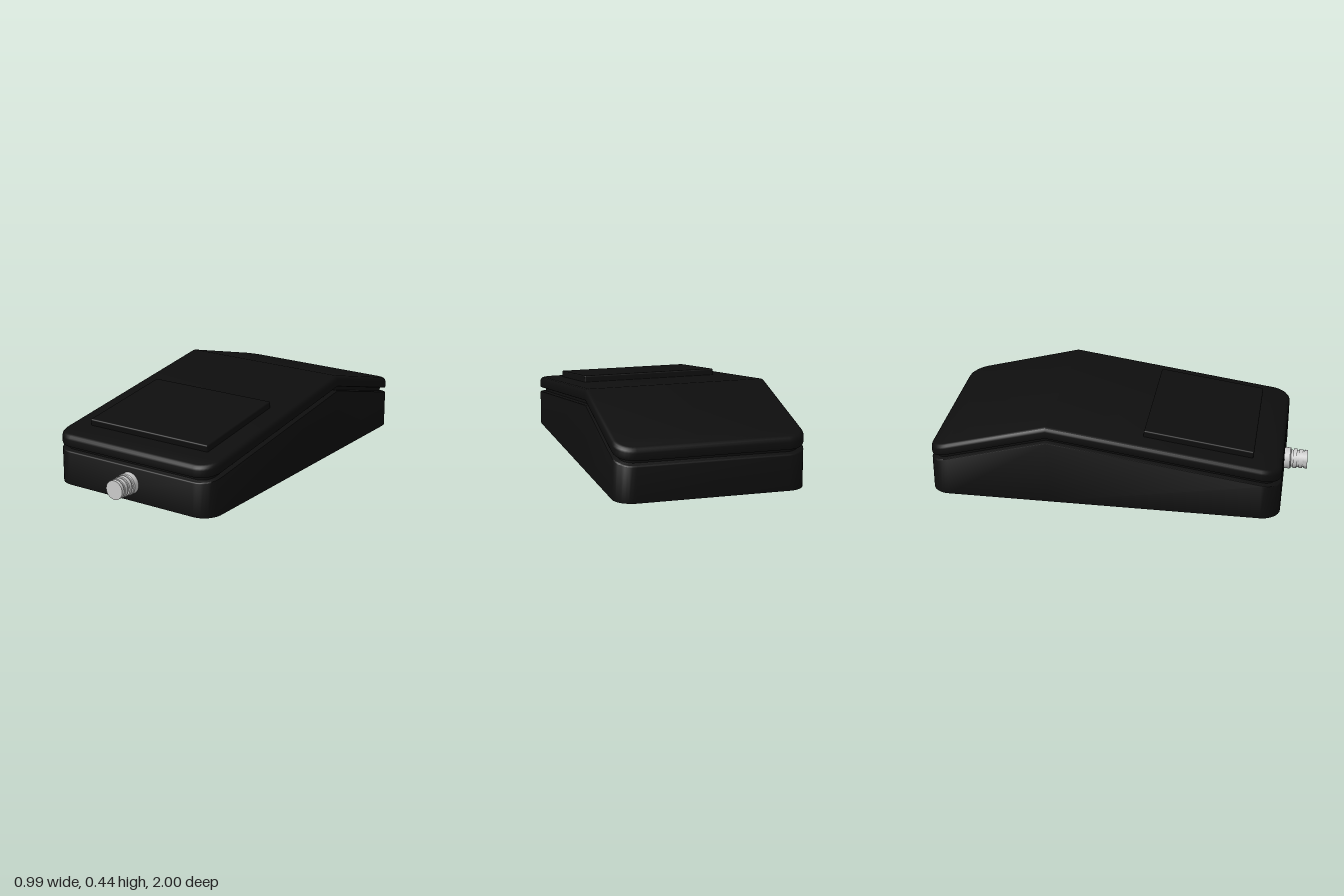
import * as THREE from 'three';
import { toCreasedNormals } from 'three/addons/utils/BufferGeometryUtils.js';
import { RoundedBoxGeometry } from 'three/addons/geometries/RoundedBoxGeometry.js';

const HALF_W = 0.494, FRONT = 0.875, BACK = -1, CORNER = 0.1;
const RIDGE_Z = -0.36, RIDGE_Y = 0.44, FRONT_SLOPE = 0.139, BACK_SLOPE = 0.266;

// Height of the two-slope top surface at a given z
const roof = (z) => RIDGE_Y - (z > RIDGE_Z ? (z - RIDGE_Z) * FRONT_SLOPE : (RIDGE_Z - z) * BACK_SLOPE);

// Rounded rectangle, right half front to back, then its mirror back to front
function outline(inset) {
  const r = CORNER - inset, cx = HALF_W - CORNER, half = [], steps = 8;
  const arc = (cz, start) => {
    for (let i = 0; i <= steps; i++) {
      const a = start - (i / steps) * Math.PI / 2;
      half.push([cx + r * Math.cos(a), cz + r * Math.sin(a)]);
    }
  };
  arc(FRONT - CORNER, Math.PI / 2);
  half.push([cx + r, RIDGE_Z]);
  arc(BACK + CORNER, 0);
  return [...half, ...half.map(([x, z]) => [-x, z]).reverse()];
}

// Closed shell through layers of [inset, offset below the roof]; a null offset lies on the ground
function shell(layers) {
  const rings = layers.map(([inset, offset]) =>
    outline(inset).map(([x, z]) => [x, offset === null ? 0 : roof(z) + offset, z]));
  const pos = [], n = rings[0].length;
  const quad = (a, b, c, d) => pos.push(...a, ...b, ...c, ...a, ...c, ...d);
  for (let k = 0; k < rings.length - 1; k++) {
    const lo = rings[k], hi = rings[k + 1];
    for (let i = 0; i < n; i++) {
      const j = (i + 1) % n;
      quad(lo[i], lo[j], hi[j], hi[i]);
    }
  }
  // Caps in strips from side to side, so the ridge stays straight
  const bottom = rings[0], top = rings[rings.length - 1];
  for (let i = 0; i < n / 2 - 1; i++) {
    quad(top[i], top[i + 1], top[n - 2 - i], top[n - 1 - i]);
    quad(bottom[n - 1 - i], bottom[n - 2 - i], bottom[i + 1], bottom[i]);
  }
  const geo = new THREE.BufferGeometry();
  geo.setAttribute('position', new THREE.Float32BufferAttribute(pos, 3));
  return toCreasedNormals(geo, 0.6);
}

export function createModel() {
  const group = new THREE.Group();
  const black = new THREE.MeshStandardMaterial({ color: 0x0e0e0e });
  const grey = new THREE.MeshStandardMaterial({ color: 0xcccccc });
  const add = (name, geo, mat) => {
    const mesh = new THREE.Mesh(geo, mat);
    mesh.name = name;
    group.add(mesh);
    return mesh;
  };

  // Housing: base, recessed seam and lid with softened edges
  add('base', shell([[0, null], [0, -0.091], [0.002, -0.087], [0.006, -0.085]]), black);
  add('seam', shell([[0.032, -0.095], [0.032, -0.05]]), black);
  add('lid', shell([[0.008, -0.062], [0.002, -0.059], [0, -0.053], [0, -0.022],
    [0.003, -0.012], [0.01, -0.004], [0.022, 0]]), black);

  // Raised foot pad lying on the front slope
  const pad = add('footPad', new RoundedBoxGeometry(0.75, 0.07, 0.585, 3, 0.008), black);
  pad.position.set(0, roof(0.43), 0.43);
  pad.rotation.x = Math.atan(FRONT_SLOPE);

  // Stepped cable gland on the front
  const steps = [[0, 0.85], [0.058, 0.85], [0.058, 0.905], [0.054, 0.91], [0.046, 0.91], [0.046, 0.922],
    [0.054, 0.922], [0.054, 0.942], [0.046, 0.942], [0.046, 0.954], [0.052, 0.954], [0.052, 0.974],
    [0.046, 0.974], [0.046, 0.982], [0.051, 0.982], [0.051, 1], [0, 1]];
  const profile = steps.map(([r, z]) => new THREE.Vector2(r, z));
  const gland = toCreasedNormals(new THREE.LatheGeometry(profile, 32), 0.6);
  gland.rotateX(Math.PI / 2);
  add('cableGland', gland, grey).position.y = 0.095;

  return group;
}
